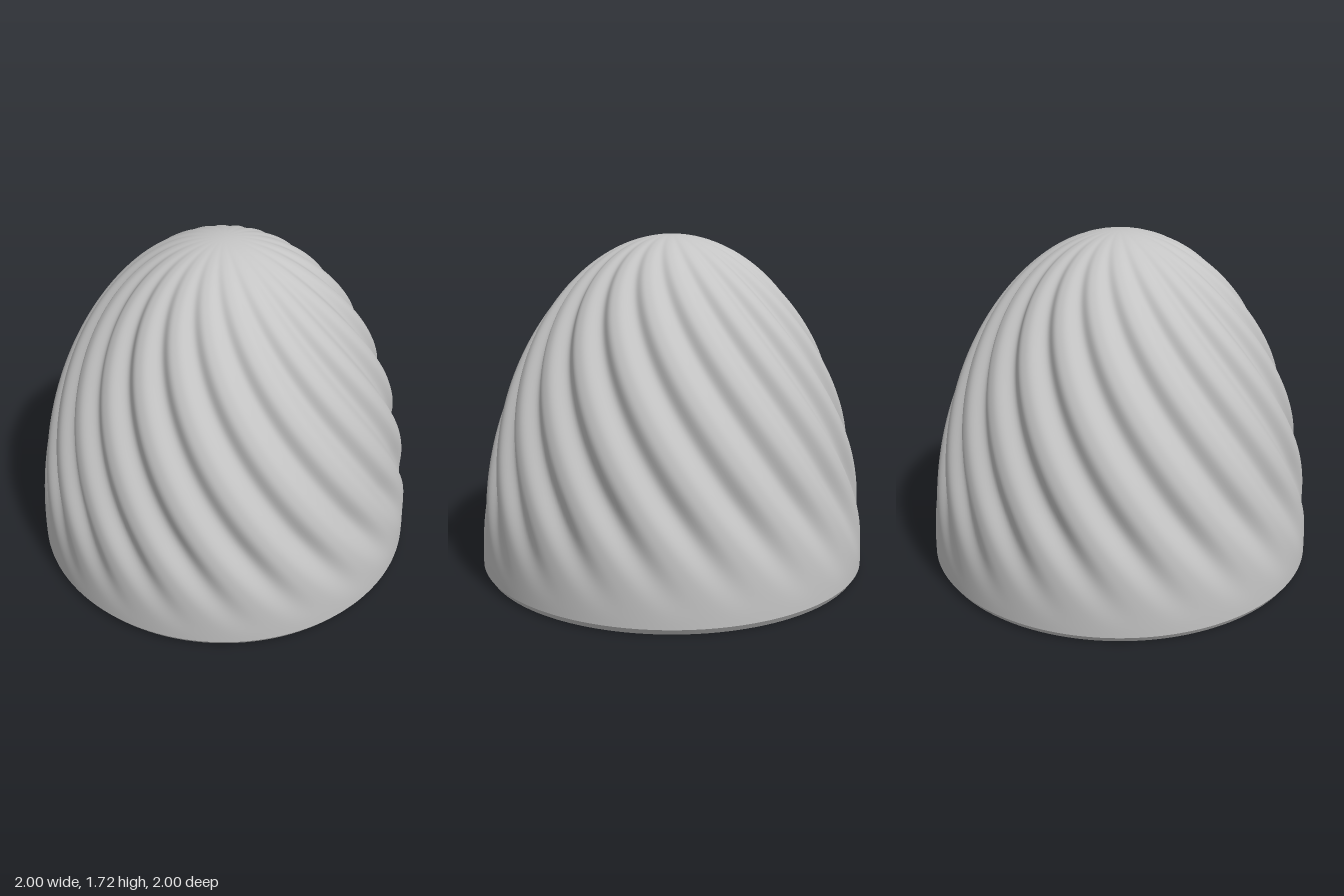
import * as THREE from 'three';
import { toCreasedNormals } from 'three/addons/utils/BufferGeometryUtils.js';

const HEIGHT = 1.715, FLUTES = 20;
const RIM_Y = 0.03;

// Outer dome: half ellipse standing on the rim
function domeRadius(y) {
  const t = Math.min(1, (y - RIM_Y) / (HEIGHT - RIM_Y));
  return Math.sqrt(1 - t * t);
}

// Swirling grooves, fading out towards the rim and the apex
function flutedRadius(angle, y) {
  const r = domeRadius(y);
  const swirl = 0.74 * (HEIGHT - y) - 0.616;
  const wave = Math.pow((1 + Math.cos(FLUTES * (angle - swirl))) / 2, 1.5);
  const depth = 0.046 * THREE.MathUtils.smoothstep(y, 0.06, 0.6) * THREE.MathUtils.smoothstep(r, 0, 0.85);
  return r - depth * wave;
}

function flutedShell() {
  const cols = 400, rows = 90, positions = [], indices = [];
  for (let i = 0; i <= rows; i++) {
    const y = RIM_Y + (HEIGHT - RIM_Y) * Math.sin((i / rows) * Math.PI / 2);
    for (let j = 0; j < cols; j++) {
      const a = (j / cols) * Math.PI * 2;
      const r = i === rows ? 0 : flutedRadius(a, y);
      positions.push(r * Math.sin(a), y, r * Math.cos(a));
    }
  }
  for (let i = 0; i < rows; i++) {
    for (let j = 0; j < cols; j++) {
      const k = (j + 1) % cols;
      const a = i * cols + j, b = i * cols + k, c = a + cols, d = b + cols;
      indices.push(a, b, c);
      if (i < rows - 1) indices.push(b, d, c);
    }
  }
  const geometry = new THREE.BufferGeometry();
  geometry.setAttribute('position', new THREE.Float32BufferAttribute(positions, 3));
  geometry.setIndex(indices);
  geometry.computeVertexNormals();
  return geometry;
}

function lathe(points) {
  const profile = points.map(([r, y]) => new THREE.Vector2(r, y));
  return toCreasedNormals(new THREE.LatheGeometry(profile, 200), 0.4);
}

export function createModel() {
  const group = new THREE.Group();
  const grey = new THREE.MeshStandardMaterial({ color: 0xc4c4c4 });
  const add = (name, geometry) => {
    const mesh = new THREE.Mesh(geometry, grey);
    mesh.name = name;
    group.add(mesh);
  };

  add('flutedDome', flutedShell());

  // Smooth hollow, from its apex down to the neck
  const hollow = [];
  for (let i = 0; i <= 40; i++) {
    const a = (i / 40) * Math.PI / 2;
    hollow.push([0.85 * Math.sin(a), 0.29 + 1.29 * Math.cos(a)]);
  }
  add('innerDome', lathe(hollow));

  // Neck with a ledge below the hollow and one thread ridge
  add('threadedNeck', lathe([
    [0.85, 0.29], [0.885, 0.24], [0.885, 0.2],
    [0.85, 0.17], [0.85, 0.14], [0.885, 0.09], [0.885, 0.04],
  ]));

  // Rim with a bevel on both edges
  add('bottomRim', lathe([[0.885, 0.04], [0.925, 0], [0.98, 0], [1, RIM_Y]]));

  return group;
}
